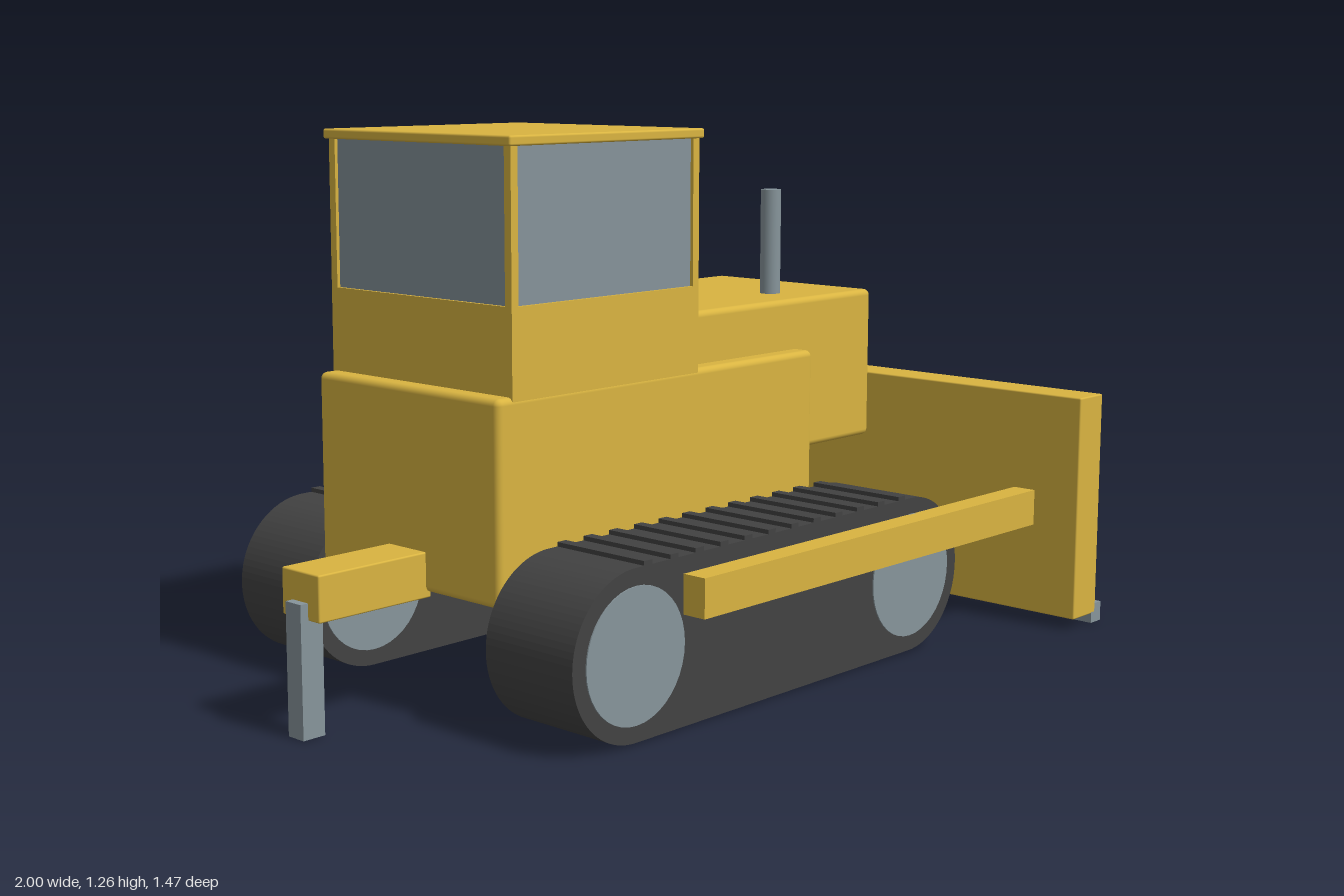
import * as THREE from 'three';
import { RoundedBoxGeometry } from 'three/addons/geometries/RoundedBoxGeometry.js';

const mat = (name, color) => new THREE.MeshStandardMaterial({ name, color });

export function createModel() {
  const model = new THREE.Group();
  model.name = 'bulldozer';
  const yellow = mat('yellow paint', 0xd9b441);
  const rubber = mat('dark track', 0x424242);
  const steel = mat('grey steel', 0x87959b);
  const glass = mat('window glass', 0x85929a);

  const add = (name, geometry, material, parent = model) => {
    const mesh = new THREE.Mesh(geometry, material);
    mesh.name = name;
    parent.add(mesh);
    return mesh;
  };
  // Box given by its limits on each axis, optionally with rounded edges
  const box = (name, material, [x0, x1], [y0, y1], [z0, z1], radius = 0, parent = model) => {
    const size = [x1 - x0, y1 - y0, z1 - z0];
    const geometry = radius
      ? new RoundedBoxGeometry(...size, 3, radius)
      : new THREE.BoxGeometry(...size);
    const mesh = add(name, geometry, material, parent);
    mesh.position.set((x0 + x1) / 2, (y0 + y1) / 2, (z0 + z1) / 2);
    return mesh;
  };

  // Hull and engine hood
  box('hull', yellow, [-0.685, 0.365], [0.27, 0.72], [-0.295, 0.295], 0.015);
  box('engineHood', yellow, [-0.05, 0.655], [0.47, 0.843], [-0.25, 0.25], 0.015);
  const exhaust = add('exhaustPipe', new THREE.CylinderGeometry(0.025, 0.025, 0.28, 20), steel);
  exhaust.position.set(0.407, 0.96, 0.123);

  // Cab: lower walls, glazed box, corner posts and roof
  const cab = new THREE.Group();
  cab.name = 'cab';
  model.add(cab);
  box('cabBase', yellow, [-0.642, -0.056], [0.7, 0.91], [-0.294, 0.294], 0, cab);
  box('cabWindows', glass, [-0.634, -0.064], [0.91, 1.243], [-0.286, 0.286], 0, cab);
  for (const x of [-0.642, -0.076]) {
    for (const z of [-0.294, 0.274]) {
      box('cabPost', yellow, [x, x + 0.02], [0.91, 1.243], [z, z + 0.02], 0, cab);
    }
  }
  box('cabRoof', yellow, [-0.652, -0.047], [1.243, 1.265], [-0.303, 0.303], 0.005, cab);

  // Crawler tracks: a stadium outline extruded across the track width
  const rearX = -0.538, frontX = 0.428, wheelY = 0.193, radius = 0.188;
  const inner = 0.295, outer = 0.55;
  const outline = new THREE.Shape();
  outline.absarc(frontX, wheelY, radius, -Math.PI / 2, Math.PI / 2, false);
  outline.absarc(rearX, wheelY, radius, Math.PI / 2, Math.PI * 1.5, false);
  outline.closePath();
  const trackGeometry = new THREE.ExtrudeGeometry(outline, {
    depth: outer - inner, bevelEnabled: false, curveSegments: 20,
  });
  const hubGeometry = new THREE.CylinderGeometry(0.15, 0.15, outer - inner + 0.006, 40);
  hubGeometry.rotateX(Math.PI / 2);

  for (const side of [-1, 1]) {
    const track = new THREE.Group();
    track.name = side > 0 ? 'nearTrack' : 'farTrack';
    model.add(track);
    add('trackBelt', trackGeometry, rubber, track).position.z = side > 0 ? inner : -outer;
    for (const x of [rearX, frontX]) {
      add('wheel', hubGeometry, steel, track).position.set(x, wheelY, side * (inner + outer) / 2);
    }
    // Raised cleats along the top run
    const zRange = side > 0 ? [inner, outer] : [-outer, -inner];
    for (let i = 0; i < 12; i++) {
      const x = -0.5 + i * 0.0807;
      box('trackCleat', rubber, [x - 0.013, x + 0.013], [0.365, 0.391], zRange, 0, track);
    }
    // Push arm carrying the blade
    const armZ = side > 0 ? [0.55, 0.61] : [-0.61, -0.55];
    box('pushArm', yellow, [-0.39, 0.88], [0.253, 0.342], armZ);
  }

  // Blade with steel cutting edge
  box('blade', yellow, [0.873, 0.975], [0.027, 0.59], [-0.735, 0.735], 0.004);
  box('cuttingEdge', steel, [0.957, 1], [0.003, 0.052], [-0.735, 0.735]);

  // Rear ripper
  box('ripperBeam', yellow, [-0.98, -0.67], [0.257, 0.36], [-0.062, 0.062], 0.004);
  box('ripperTooth', steel, [-1, -0.942], [0, 0.295], [-0.025, 0.025]);

  return model;
}
